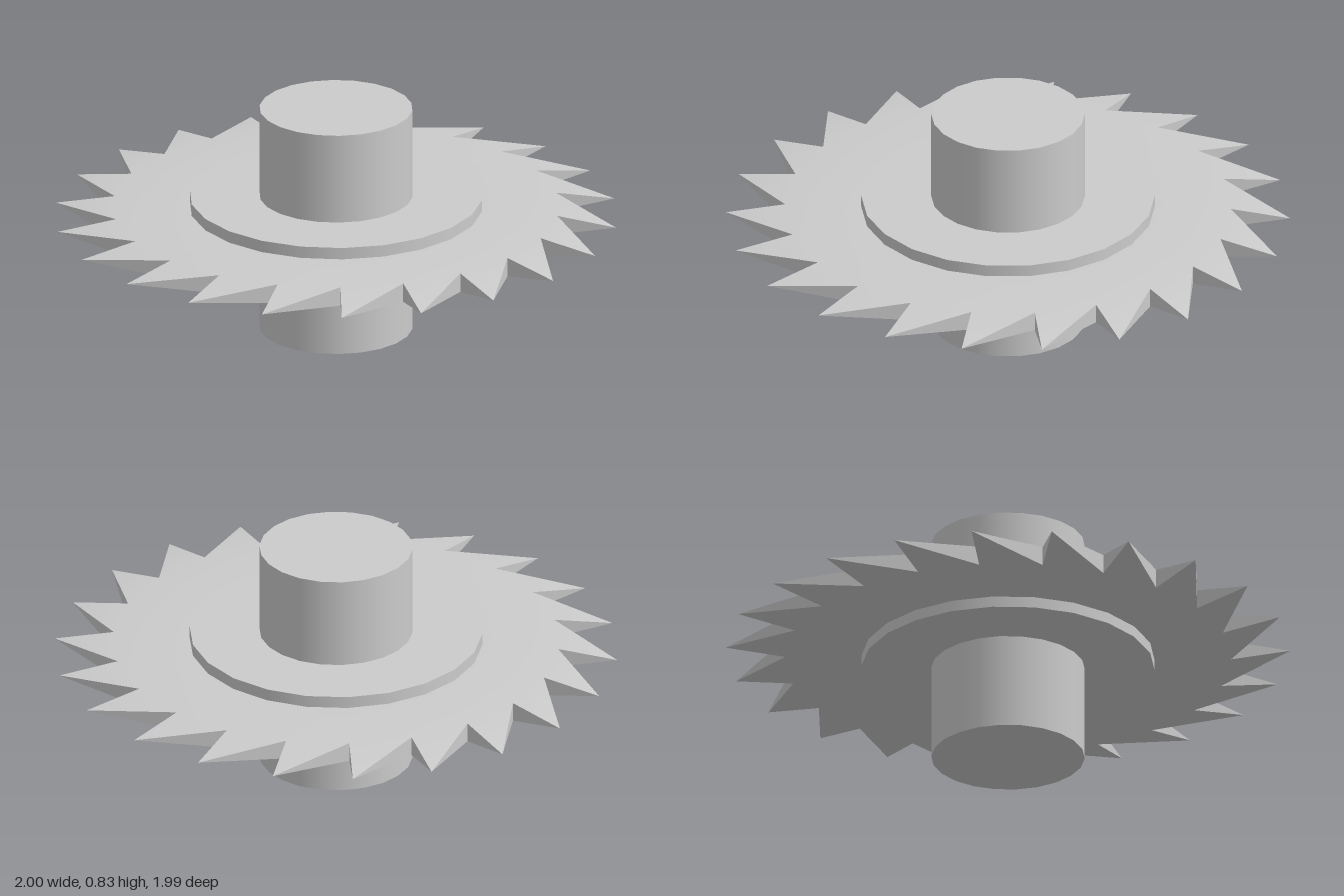
import * as THREE from 'three';

const TEETH = 22;
const STEP = (Math.PI * 2) / TEETH;
const PHASE = 0.023;
const MID = 0.422, TOP = 0.457, BOTTOM = 0.387;
const material = new THREE.MeshStandardMaterial({ color: 0xcccccc });
const flatMaterial = new THREE.MeshStandardMaterial({ color: 0xcccccc, flatShading: true });

const polar = (radius, i, y) => {
  const a = PHASE + i * STEP;
  return [radius * Math.cos(a), y, radius * Math.sin(a)];
};

function buildMesh(name, positions, index, mat) {
  const geometry = new THREE.BufferGeometry();
  geometry.setAttribute('position', new THREE.Float32BufferAttribute(positions, 3));
  geometry.setIndex(index);
  geometry.computeVertexNormals();
  const mesh = new THREE.Mesh(geometry, mat);
  mesh.name = name;
  return mesh;
}

// One smooth face of the blade: an inner ring, the tooth roots and the tips
function bladeFace(name, y, up) {
  const positions = [], index = [];
  for (let i = 0; i < TEETH; i++) {
    positions.push(...polar(0.48, i, y), ...polar(0.79, i, y), ...polar(1, i, MID));
    const j = (i + 1) % TEETH;
    const a = i * 3, c = a + 1, b = j * 3, d = b + 1, tip = b + 2;
    for (const [p, q, r] of [[a, b, c], [b, d, c], [c, d, tip]]) {
      index.push(...(up ? [p, q, r] : [p, r, q]));
    }
  }
  return buildMesh(name, positions, index, material);
}

// Sloping back and radial cutting face of every tooth
function toothEdges() {
  const positions = [], index = [];
  for (let i = 0; i < TEETH; i++) {
    const tip = polar(1, i + 1, MID);
    positions.push(...polar(0.79, i, TOP), ...tip, ...polar(0.79, i, BOTTOM));
    positions.push(...polar(0.79, i + 1, TOP), ...polar(0.79, i + 1, BOTTOM), ...tip);
    for (let k = 0; k < 6; k++) index.push(i * 6 + k);
  }
  return buildMesh('toothEdges', positions, index, flatMaterial);
}

function disc(name, radius, y0, y1) {
  const geometry = new THREE.CylinderGeometry(radius, radius, y1 - y0, TEETH, 1, false, STEP / 2);
  const mesh = new THREE.Mesh(geometry, material);
  mesh.position.y = (y0 + y1) / 2;
  mesh.name = name;
  return mesh;
}

export function createModel() {
  const model = new THREE.Group();
  model.name = 'circularSaw';

  const blade = new THREE.Group();
  blade.name = 'blade';
  blade.add(bladeFace('bladeTop', TOP, true), bladeFace('bladeBottom', BOTTOM, false), toothEdges());

  model.add(blade, disc('flange', 0.52, 0.347, 0.5), disc('axle', 0.272, 0, 0.83));
  return model;
}
